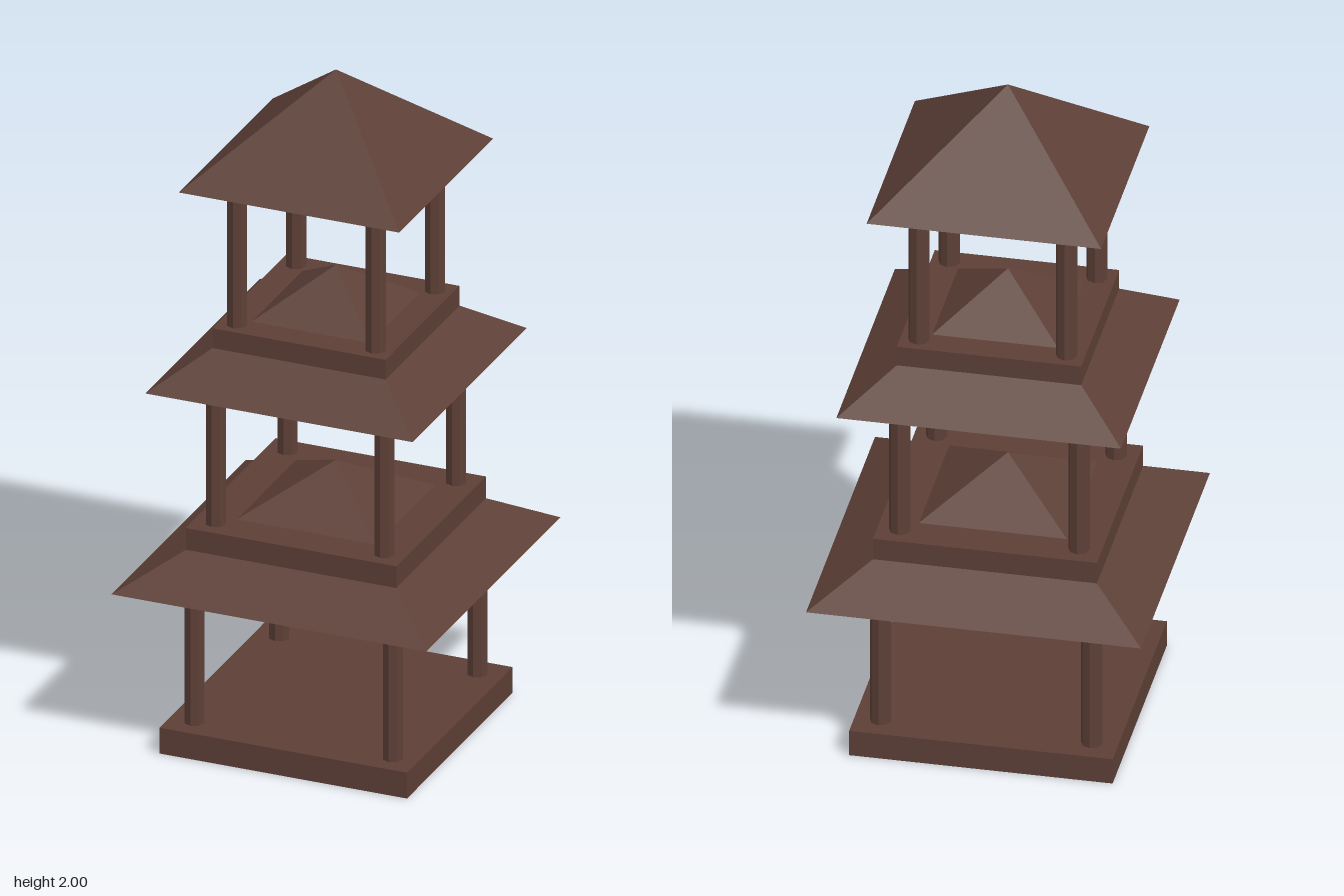
import * as THREE from 'three';

export function createModel() {
  const group = new THREE.Group();
  const wood = new THREE.MeshStandardMaterial({ color: 0x5d4037, flatShading: true });
  wood.name = 'dark brown wood';

  const add = (parent, geometry, name, x, y, z) => {
    const mesh = new THREE.Mesh(geometry, wood);
    mesh.name = name;
    mesh.position.set(x, y, z);
    parent.add(mesh);
    return mesh;
  };

  const floorHeight = 0.079, pillarHeight = 0.433, roofHeight = 0.294;
  const tierStep = 0.597; // each floor sits part-way up the roof below

  // Three tiers, each narrower than the one beneath
  [1, 0.85, 0.7].forEach((scale, i) => {
    const tier = new THREE.Group();
    tier.name = `tier${i + 1}`;
    tier.position.y = i * tierStep;
    group.add(tier);

    // Square floor slab
    const width = 0.744 * scale;
    add(tier, new THREE.BoxGeometry(width, floorHeight, width), 'floor', 0, floorHeight / 2, 0);

    // Four corner pillars
    const p = 0.298 * scale;
    for (const sx of [-1, 1]) for (const sz of [-1, 1]) {
      add(tier, new THREE.CylinderGeometry(0.03, 0.03, pillarHeight, 8), 'pillar',
        sx * p, floorHeight + pillarHeight / 2, sz * p);
    }

    // Pyramid roof, turned so its sides align with the floor
    const roof = new THREE.ConeGeometry(0.473 * scale * Math.SQRT2, roofHeight, 4);
    roof.rotateY(Math.PI / 4);
    add(tier, roof, 'roof', 0, floorHeight + pillarHeight + roofHeight / 2, 0);
  });

  return group;
}
